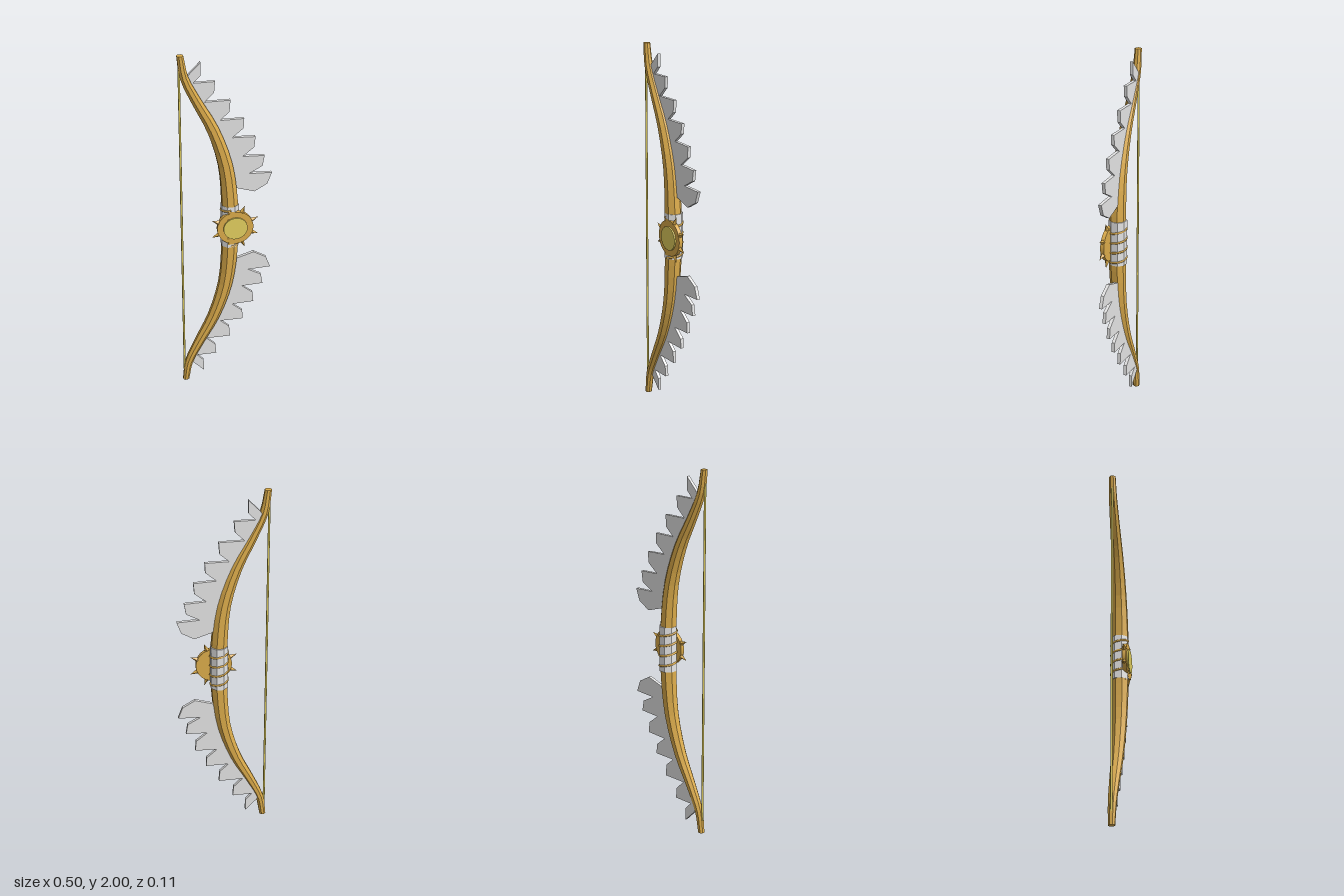
import * as THREE from 'three';

const gold = new THREE.MeshStandardMaterial({ color: 0xdcac4b });
gold.name = 'gold';
const paleGold = new THREE.MeshStandardMaterial({ color: 0xe3d05f });
paleGold.name = 'paleGold';
const steel = new THREE.MeshStandardMaterial({ color: 0xe4e4e4 });
steel.name = 'steel';
const cloth = new THREE.MeshStandardMaterial({ color: 0xececec });
cloth.name = 'cloth';

const GRIP_X = 0.022;
const DISC_X = 0.045;

function faceted(geometry) {
  const g = geometry.toNonIndexed();
  g.computeVertexNormals();
  return g;
}

function add(parent, name, geometry, material, x = 0, y = 0, z = 0) {
  const mesh = new THREE.Mesh(geometry, material);
  mesh.name = name;
  mesh.position.set(x, y, z);
  parent.add(mesh);
  return mesh;
}

// Eight-sided tapering sweep along the bow, with flat ends
function staveGeometry() {
  // x, y, half thickness for the upper half, from grip to tip
  const upper = [
    [GRIP_X, 1.0, 0.043], [0.02, 1.155, 0.042], [-0.003, 1.37, 0.037], [-0.068, 1.58, 0.031],
    [-0.153, 1.75, 0.025], [-0.211, 1.88, 0.021], [-0.23, 2.0, 0.017],
  ];
  const lower = upper.slice(1).reverse().map(([x, y, r]) => [x, 2 - y, r]);
  const curve = new THREE.CatmullRomCurve3([...lower, ...upper].map((p) => new THREE.Vector3(...p)));
  const rows = 36, sides = 8, pos = [], index = [];
  for (let i = 0; i <= rows; i++) {
    const p = curve.getPoint(i / rows);
    const t = curve.getTangent(i / rows).setZ(0).normalize();
    if (i === 0 || i === rows) t.set(0, 1, 0);
    const r = p.z / Math.cos(Math.PI / sides);
    for (let j = 0; j < sides; j++) {
      const a = ((j + 0.5) / sides) * Math.PI * 2;
      const c = Math.cos(a) * r;
      pos.push(p.x + t.y * c, p.y - t.x * c, Math.sin(a) * r);
    }
  }
  for (let i = 0; i < rows; i++) {
    for (let j = 0; j < sides; j++) {
      const a = i * sides + j, b = i * sides + ((j + 1) % sides);
      index.push(a, a + sides, b, b, a + sides, b + sides);
    }
  }
  const top = rows * sides;
  for (let j = 1; j < sides - 1; j++) {
    index.push(0, j, j + 1, top, top + j + 1, top + j);
  }
  const g = new THREE.BufferGeometry();
  g.setAttribute('position', new THREE.Float32BufferAttribute(pos, 3));
  g.setIndex(index);
  return faceted(g);
}

// Saw-toothed blade; side is 1 for the upper limb and -1 for the lower
function bladeGeometry(side) {
  const outline = [
    [-0.19, 1.89], [-0.127, 1.955], [-0.127, 1.885], [-0.165, 1.845],
    [-0.054, 1.845], [-0.059, 1.785], [-0.11, 1.735],
    [0.025, 1.735], [0.02, 1.67], [-0.03, 1.625],
    [0.097, 1.625], [0.094, 1.57], [0.035, 1.52],
    [0.157, 1.515], [0.152, 1.455], [0.09, 1.405],
    [0.207, 1.4], [0.197, 1.34], [0.125, 1.3],
    [0.248, 1.295], [0.224, 1.23], [0.155, 1.19], [0.06, 1.22],
    [0.015, 1.23], [-0.003, 1.37], [-0.068, 1.58], [-0.155, 1.75], [-0.205, 1.86],
  ];
  const shape = new THREE.Shape(outline.map(([x, y]) => new THREE.Vector2(x, 1 + side * (y - 1))));
  return new THREE.ExtrudeGeometry(shape, { depth: 0.018, bevelEnabled: false });
}

export function createModel() {
  const bow = new THREE.Group();
  bow.name = 'bow';

  add(bow, 'stave', staveGeometry(), gold);
  add(bow, 'upperBlade', bladeGeometry(1), steel, 0, 0, -0.018);
  add(bow, 'lowerBlade', bladeGeometry(-1), steel, 0, 0, -0.018);
  add(bow, 'bowString', new THREE.CylinderGeometry(0.006, 0.006, 1.86, 8), paleGold, -0.237, 1, 0);

  // Grip wrapping, set back so the stave shows at the front, with a cord wound around it
  const wrap = new THREE.CylinderGeometry(0.0496, 0.0496, 0.25, 8).rotateY(Math.PI / 8);
  add(bow, 'gripWrap', faceted(wrap), cloth, GRIP_X, 1.005, -0.0032);
  const turns = 4, coil = [];
  for (let i = 0; i <= turns * 12; i++) {
    const a = (i / 12) * Math.PI * 2;
    coil.push(new THREE.Vector3(Math.sin(a) * 0.047, -0.115 + (0.225 * i) / (turns * 12), Math.cos(a) * 0.046));
  }
  const cord = new THREE.TubeGeometry(new THREE.CatmullRomCurve3(coil), 112, 0.006, 6);
  add(bow, 'gripCord', cord, gold, GRIP_X, 1, -0.003);

  // Round front shield with a raised centre and a ring of spikes
  const shield = new THREE.Group();
  shield.name = 'shield';
  shield.position.set(DISC_X, 1, 0);
  bow.add(shield);
  add(shield, 'shieldDisc', new THREE.CylinderGeometry(0.098, 0.098, 0.022, 32).rotateX(Math.PI / 2), gold, 0, 0, 0.032);
  add(shield, 'shieldBoss', new THREE.CylinderGeometry(0.065, 0.065, 0.01, 32).rotateX(Math.PI / 2), paleGold, 0, 0, 0.046);
  for (let i = 0; i < 8; i++) {
    const a = ((i + 0.5) / 8) * Math.PI * 2;
    const spike = add(shield, 'shieldSpike', faceted(new THREE.ConeGeometry(0.014, 0.042, 4)), gold,
      Math.cos(a) * 0.116, Math.sin(a) * 0.116, 0.032);
    spike.rotation.z = a - Math.PI / 2;
  }
  return bow;
}
